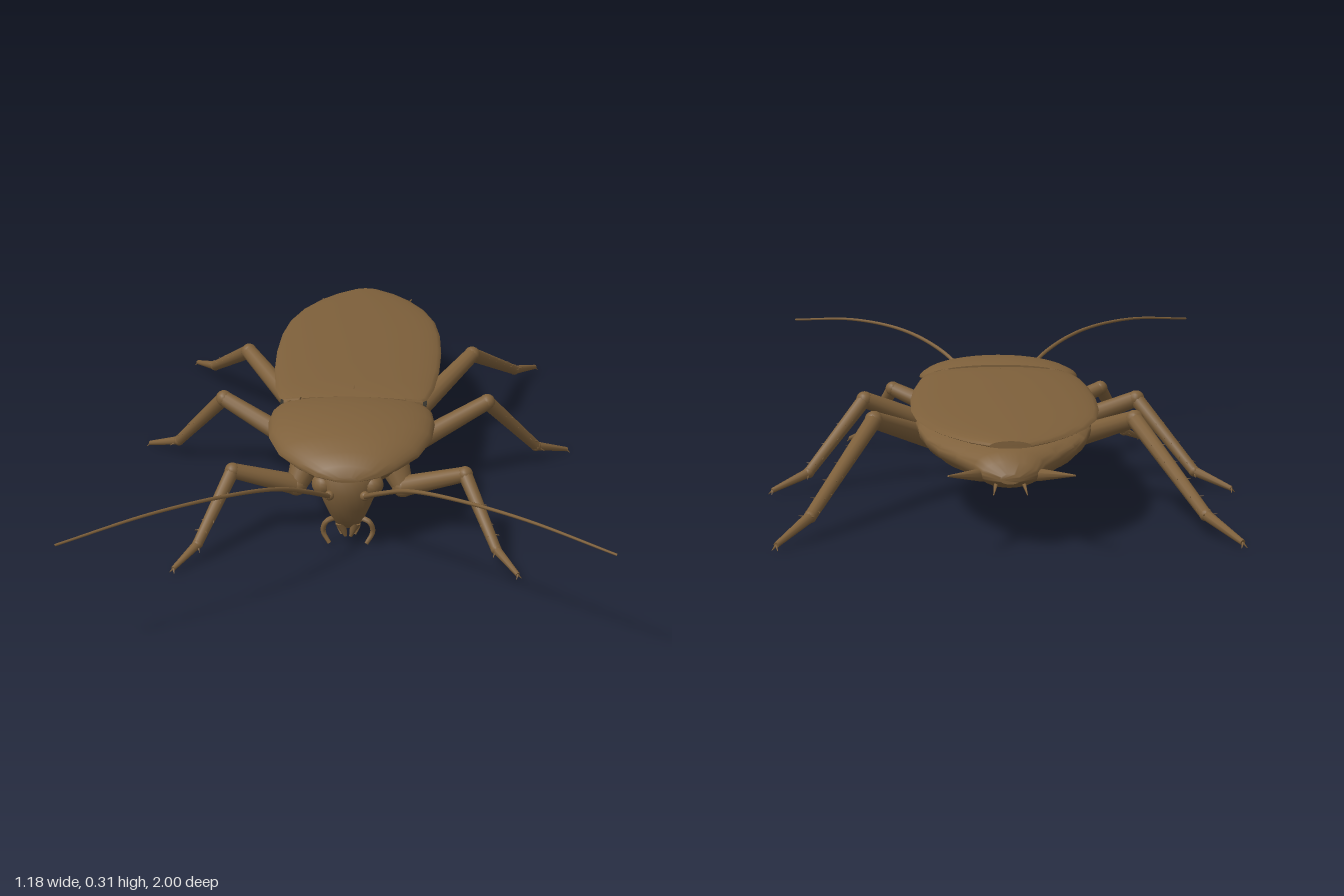
import * as THREE from 'three';
import { toCreasedNormals } from 'three/addons/utils/BufferGeometryUtils.js';

const V = (p) => new THREE.Vector3(...p);
function paint(name, color) {
  const m = new THREE.MeshStandardMaterial({ color });
  m.name = name;
  return m;
}
const shell = paint('brown shell', 0x7e603b);
const dark = paint('dark membrane', 0x34322c);

function add(parent, name, geometry, material = shell) {
  const mesh = new THREE.Mesh(geometry, material);
  mesh.name = name;
  parent.add(mesh);
  return mesh;
}

// Closed skin through sections [z, halfWidth, top, edge, bottom], front to back
function loft(sections, n = 32, crease = 0.8) {
  const pos = [], idx = [];
  for (const [z, w, top, edge, bot] of sections) {
    for (let k = 0; k < n; k++) {
      const a = (k / n) * Math.PI * 2, s = Math.sin(a);
      pos.push(w * Math.cos(a), edge + s * (s > 0 ? top - edge : edge - bot), z);
    }
  }
  const last = sections.length - 1;
  for (let i = 0; i < last; i++) {
    for (let k = 0; k < n; k++) {
      const a = i * n + k, b = i * n + (k + 1) % n;
      idx.push(a, a + n, b + n, a, b + n, b);
    }
  }
  for (let k = 1; k < n - 1; k++) {
    idx.push(0, k, k + 1, last * n, last * n + k + 1, last * n + k);
  }
  const g = new THREE.BufferGeometry();
  g.setAttribute('position', new THREE.Float32BufferAttribute(pos, 3));
  g.setIndex(idx);
  return toCreasedNormals(g, crease);
}

// Tapered rod between two points
function rod(a, b, ra, rb, sides = 10) {
  const d = b.clone().sub(a);
  const g = new THREE.CylinderGeometry(rb, ra, d.length(), sides);
  g.applyQuaternion(new THREE.Quaternion().setFromUnitVectors(new THREE.Vector3(0, 1, 0), d.clone().normalize()));
  const m = a.clone().add(b).multiplyScalar(0.5);
  return g.translate(m.x, m.y, m.z);
}

function ball(p, r) {
  return new THREE.SphereGeometry(r, 14, 10).translate(p.x, p.y, p.z);
}

// Tube whose radius shrinks from r0 to r1
function taperTube(points, r0, r1, segs = 32, sides = 6) {
  const curve = new THREE.CatmullRomCurve3(points.map(V));
  const g = new THREE.TubeGeometry(curve, segs, 1, sides);
  const p = g.attributes.position, v = new THREE.Vector3();
  for (let i = 0; i < p.count; i++) {
    const t = Math.floor(i / (sides + 1)) / segs, c = curve.getPointAt(t);
    v.fromBufferAttribute(p, i).sub(c).multiplyScalar(r0 + (r1 - r0) * t).add(c);
    p.setXYZ(i, v.x, v.y, v.z);
  }
  return g;
}

// Joints run: body, hip, knee, ankle, foot tip
function leg(parent, name, side, joints, thick, spines) {
  const g = new THREE.Group();
  g.name = name;
  parent.add(g);
  const [body, hip, knee, ankle, tip] = joints.map(([x, y, z]) => new THREE.Vector3(x * side, y, z));
  add(g, 'coxa', rod(body, hip, thick * 1.7, thick * 1.0, 12));
  add(g, 'hipJoint', ball(hip, thick * 1.05));
  add(g, 'femur', rod(hip, knee, thick, thick * 0.72, 12));
  add(g, 'kneeJoint', ball(knee, thick * 0.75));
  add(g, 'tibia', rod(knee, ankle, thick * 0.68, thick * 0.48));
  add(g, 'ankleJoint', ball(ankle, thick * 0.5));
  add(g, 'tarsus', rod(ankle, tip, thick * 0.44, thick * 0.22, 8));
  // Paired spines down the shin
  const dir = ankle.clone().sub(knee).normalize();
  const out = new THREE.Vector3(0, 1, 0).cross(dir).normalize();
  for (let i = 0; i < spines; i++) {
    const base = knee.clone().lerp(ankle, 0.2 + 0.8 * i / (spines - 1));
    for (const s of [-1, 1]) {
      const end = base.clone().addScaledVector(dir, 0.022).addScaledVector(out, s * 0.018);
      end.y += i % 2 ? 0.014 : 0.002;
      add(g, 'spine', rod(base, end, 0.0035, 0.0006, 5));
    }
  }
  // Claws
  for (const s of [-1, 1]) {
    const end = tip.clone().addScaledVector(dir, 0.008).addScaledVector(out, s * 0.007);
    end.y = 0.003;
    add(g, 'claw', rod(tip, end, 0.003, 0.0008, 5));
  }
}

export function createModel() {
  const model = new THREE.Group();
  model.name = 'cockroach';

  // Shield over the head
  add(model, 'pronotum', loft([
    [0.408, 0.03, 0.207, 0.197, 0.192], [0.392, 0.075, 0.228, 0.201, 0.193], [0.36, 0.118, 0.251, 0.207, 0.196],
    [0.3, 0.168, 0.272, 0.216, 0.202], [0.22, 0.199, 0.283, 0.228, 0.208], [0.14, 0.206, 0.285, 0.236, 0.214],
    [0.085, 0.2, 0.281, 0.241, 0.22], [0.06, 0.188, 0.277, 0.245, 0.228],
  ], 40));

  // Folded wings with the seam along the middle
  add(model, 'foldedWings', loft([
    [0.05, 0.165, 0.273, 0.256, 0.251], [0.02, 0.187, 0.276, 0.255, 0.25], [-0.06, 0.203, 0.277, 0.252, 0.246],
    [-0.2, 0.216, 0.274, 0.249, 0.243], [-0.35, 0.221, 0.27, 0.246, 0.24], [-0.5, 0.217, 0.265, 0.243, 0.237],
    [-0.62, 0.203, 0.26, 0.24, 0.234], [-0.73, 0.173, 0.255, 0.237, 0.231], [-0.82, 0.13, 0.25, 0.235, 0.229],
    [-0.88, 0.088, 0.246, 0.233, 0.227], [-0.92, 0.045, 0.242, 0.231, 0.226],
  ], 40));
  add(model, 'wingSeam', rod(V([0, 0.275, 0]), V([0, 0.243, -0.9]), 0.0025, 0.0015, 6));

  // Chest
  add(model, 'thorax', loft([
    [0.36, 0.06, 0.22, 0.19, 0.15], [0.28, 0.115, 0.24, 0.19, 0.13], [0.18, 0.14, 0.25, 0.195, 0.115],
    [0.05, 0.15, 0.25, 0.2, 0.115], [-0.1, 0.17, 0.245, 0.2, 0.11], [-0.25, 0.18, 0.24, 0.2, 0.11],
  ]));

  // Belly, broad and shallow, with a slight step at each ring
  const abdomen = new THREE.Group();
  abdomen.name = 'abdomen';
  model.add(abdomen);
  const widths = [0.175, 0.196, 0.205, 0.206, 0.198, 0.182, 0.155, 0.115, 0.075];
  const rings = [];
  for (let i = 0; i < 8; i++) {
    const z = -0.12 - i * 0.092, t = i / 8;
    const top = 0.236 - 0.03 * t, mid = 0.208 - 0.036 * t, bot = 0.107 + 0.028 * t * t;
    rings.push([z, widths[i] - 0.002, top - 0.003, mid, bot + 0.002]);
    rings.push([z - 0.086, widths[i + 1] + 0.002, top, mid - 0.002, bot]);
  }
  rings.push([-0.87, 0.06, 0.19, 0.162, 0.135], [-0.9, 0.022, 0.168, 0.155, 0.145]);
  add(abdomen, 'belly', loft(rings, 36, 1.0));

  // Head, built upright from chin to crown: [-y, halfWidth, front z, middle z, back z]
  const head = new THREE.Group();
  head.name = 'head';
  model.add(head);
  add(head, 'skull', loft([
    [-0.045, 0.022, 0.342, 0.33, 0.318], [-0.07, 0.038, 0.365, 0.34, 0.315], [-0.11, 0.054, 0.39, 0.35, 0.31],
    [-0.155, 0.072, 0.406, 0.355, 0.3], [-0.2, 0.077, 0.406, 0.35, 0.295], [-0.235, 0.05, 0.38, 0.345, 0.31],
  ], 24, 1.0).rotateX(Math.PI / 2));

  for (const s of [-1, 1]) {
    const side = s > 0 ? 'left' : 'right';
    add(head, side + 'Eye', ball(V([s * 0.058, 0.172, 0.368]), 0.028));
    add(head, side + 'Jaw', rod(V([s * 0.018, 0.06, 0.34]), V([s * 0.006, 0.022, 0.338]), 0.014, 0.004, 8));
    add(head, side + 'LongPalp', taperTube([
      [s * 0.03, 0.075, 0.345], [s * 0.052, 0.068, 0.355], [s * 0.06, 0.04, 0.35], [s * 0.045, 0.011, 0.355],
    ], 0.008, 0.005, 12));
    add(head, side + 'ShortPalp', taperTube([
      [s * 0.015, 0.06, 0.325], [s * 0.024, 0.045, 0.32], [s * 0.016, 0.022, 0.325],
    ], 0.007, 0.004, 8));
    add(head, side + 'AntennaBase', ball(V([s * 0.042, 0.155, 0.398]), 0.012));
    add(head, side + 'Antenna', taperTube([
      [s * 0.042, 0.155, 0.402], [s * 0.085, 0.2, 0.483], [s * 0.15, 0.25, 0.583], [s * 0.26, 0.292, 0.725],
      [s * 0.41, 0.308, 0.865], [s * 0.588, 0.294, 0.996],
    ], 0.0065, 0.0028, 48));

    // Shoulder of the wing and the dark membrane beneath it
    add(model, side + 'WingHinge', rod(V([s * 0.13, 0.256, 0.05]), V([s * 0.172, 0.25, 0.035]), 0.014, 0.01));
    const membrane = new THREE.BoxGeometry(0.07, 0.004, 0.16).translate(s * 0.15, 0.2445, -0.045);
    add(model, side + 'WingMembrane', membrane, dark);

    // Three pairs of legs
    leg(model, side + 'FrontLeg', s, [
      [0.1, 0.185, 0.22], [0.13, 0.12, 0.255], [0.28, 0.18, 0.315], [0.355, 0.042, 0.44], [0.405, 0.012, 0.515],
    ], 0.026, 5);
    leg(model, side + 'MiddleLeg', s, [
      [0.09, 0.17, 0.06], [0.13, 0.115, 0.0], [0.34, 0.21, -0.09], [0.475, 0.045, -0.2], [0.56, 0.012, -0.26],
    ], 0.028, 7);
    leg(model, side + 'HindLeg', s, [
      [0.08, 0.16, -0.12], [0.14, 0.12, -0.2], [0.305, 0.213, -0.44], [0.435, 0.05, -0.765], [0.5, 0.014, -0.89],
    ], 0.029, 10);

    // Tail feelers and small tail spikes
    add(abdomen, side + 'Cercus', rod(V([s * 0.06, 0.155, -0.84]), V([s * 0.132, 0.182, -0.998]), 0.015, 0.002, 8));
    add(abdomen, side + 'Stylus', rod(V([s * 0.028, 0.147, -0.86]), V([s * 0.036, 0.125, -0.915]), 0.006, 0.001, 6));
  }
  return model;
}
